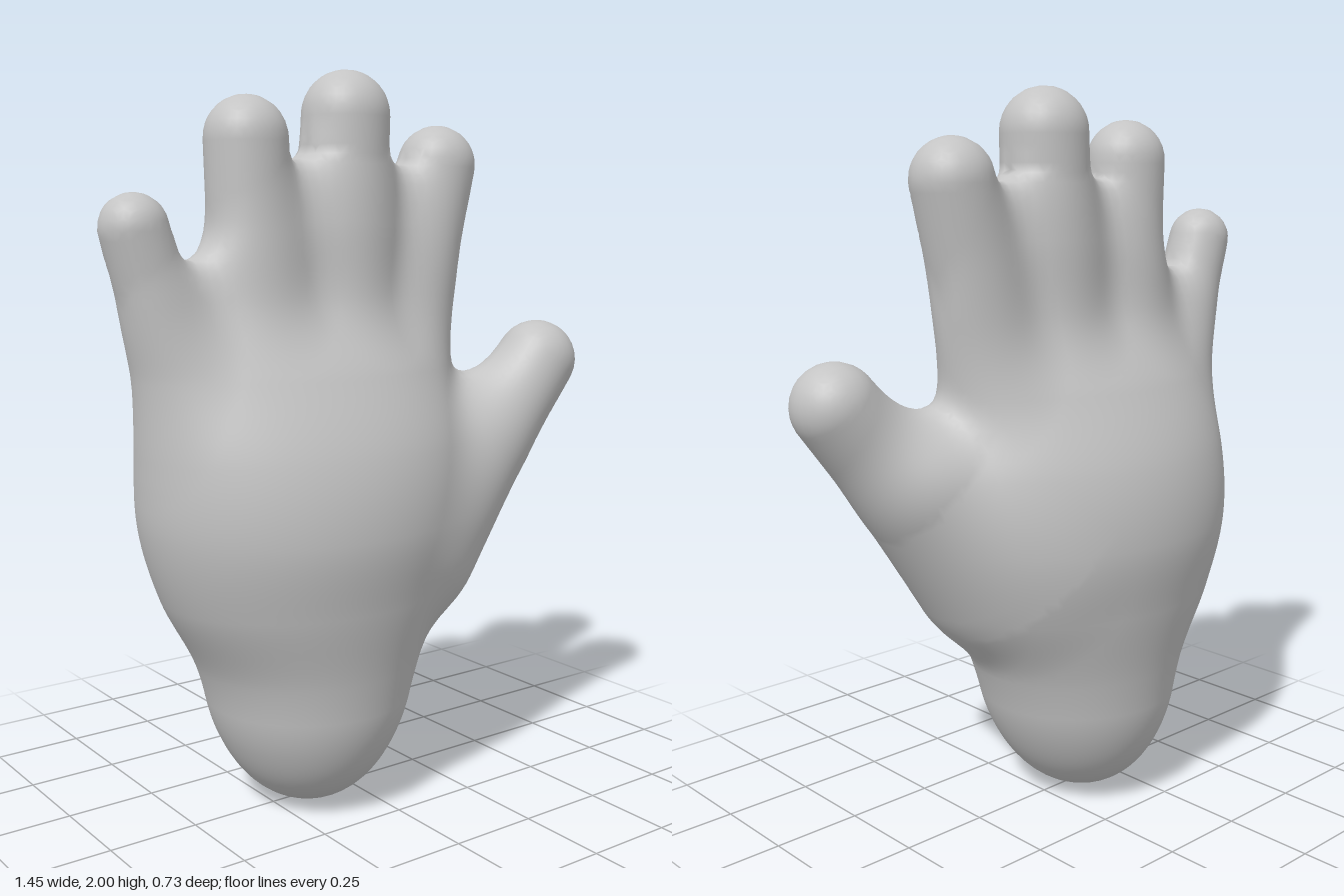
import * as THREE from 'three';

const STEP = 0.025;   // spacing of the sculpting grid

// Palm cross-sections every 0.2 up from y = 0: centre x, half width, half depth
const SECTIONS = [
  [-0.14, 0.25, 0.27], [-0.135, 0.268, 0.272], [-0.13, 0.32, 0.295],
  [-0.135, 0.42, 0.335], [-0.135, 0.48, 0.365], [-0.135, 0.49, 0.335],
  [-0.145, 0.465, 0.24], [-0.14, 0.45, 0.115], [-0.05, 0.3, 0.09], [0, 0.27, 0.08],
];

// Smooth interpolation of one column of the section table
function section(y, column) {
  const last = SECTIONS.length - 1;
  const t = THREE.MathUtils.clamp(y / 0.2, 0, last - 0.001);
  const i = Math.floor(t), s = t - i;
  const at = (k) => SECTIONS[THREE.MathUtils.clamp(k, 0, last)][column];
  const [a, b, c, d] = [at(i - 1), at(i), at(i + 1), at(i + 2)];
  return b + 0.5 * s * (c - a + s * (2 * a - 5 * b + 4 * c - d + s * (3 * (b - c) + d - a)));
}

// Palm: stacked ellipses, rounded off at the heel and between the fingers
function palm(x, y, z) {
  const heel = Math.max(0, 0.3 - y) / 0.3, top = Math.max(0, y - 1.4) / 0.38;
  const round = Math.sqrt(Math.max(1e-5, 1 - Math.max(heel ** 2, top ** 4)));
  const w = section(y, 1) * round, d = section(y, 2) * round;
  const px = x - section(y, 0) + 1e-6;
  const k0 = Math.hypot(px / w, z / d), k1 = Math.hypot(px / (w * w), z / (d * d));
  const f = k0 * (k0 - 1) / k1;
  const beyond = Math.max(0, -y, y - 1.78);
  return beyond > 0 ? Math.hypot(Math.max(f, 0), beyond) : f;
}

// Finger: tapered rod with round ends
function finger([ax, ay, az], ra, [bx, by, bz], rb) {
  const dx = bx - ax, dy = by - ay, dz = bz - az, len2 = dx * dx + dy * dy + dz * dz;
  return (x, y, z) => {
    const dot = (x - ax) * dx + (y - ay) * dy + (z - az) * dz;
    const t = THREE.MathUtils.clamp(dot / len2, 0, 1);
    return Math.hypot(x - ax - t * dx, y - ay - t * dy, z - az - t * dz) - ra - (rb - ra) * t;
  };
}

// Blend is the softness of the join to the parts listed before
const PARTS = [
  { name: 'palm', blend: 0.1, distance: palm },
  { name: 'littleFinger', blend: 0.1, distance: finger([-0.46, 1.0, 0], 0.10, [-0.64, 1.583, 0], 0.088) },
  { name: 'ringFinger', blend: 0.1, distance: finger([-0.28, 1.0, 0], 0.12, [-0.315, 1.81, 0], 0.11) },
  { name: 'middleFinger', blend: 0.1, distance: finger([-0.03, 1.0, 0], 0.12, [0, 1.88, 0], 0.12) },
  { name: 'indexFinger', blend: 0.1, distance: finger([0.12, 0.95, 0], 0.11, [0.317, 1.757, 0], 0.11) },
  { name: 'thumbBase', blend: 0.16, distance: finger([0.1, 0.75, 0], 0.2, [0.38, 0.98, 0.03], 0.1) },
  { name: 'thumb', blend: 0.16, distance: finger([0.2, 0.69, 0.085], 0.14, [0.61, 1.2, 0.118], 0.115) },
];

// Soft union of all parts: negative inside, zero on the skin
function hand(x, y, z) {
  let f = 10;
  for (const { blend, distance } of PARTS) {
    const g = distance(x, y, z);
    const h = Math.max(blend - Math.abs(f - g), 0) / blend;
    f = Math.min(f, g) - h * h * blend / 4;
  }
  return f;
}

function gradient(p) {
  const e = 0.004;
  return new THREE.Vector3(
    hand(p.x + e, p.y, p.z) - hand(p.x - e, p.y, p.z),
    hand(p.x, p.y + e, p.z) - hand(p.x, p.y - e, p.z),
    hand(p.x, p.y, p.z + e) - hand(p.x, p.y, p.z - e)).divideScalar(2 * e);
}

export function createModel() {
  const origin = new THREE.Vector3(-0.85, -0.0613, -0.4613);
  const size = [68, 86, 38];
  const strides = [1, size[0], size[0] * size[1]];
  const point = (i, j, k) => new THREE.Vector3(i, j, k).multiplyScalar(STEP).add(origin);

  // Sample the soft union on the grid
  const field = new Float32Array(size[0] * size[1] * size[2]);
  const eachCell = (from, visit) => {
    for (let k = from; k < size[2] - 1; k++)
      for (let j = from; j < size[1] - 1; j++)
        for (let i = from; i < size[0] - 1; i++)
          visit(i, j, k, i + j * strides[1] + k * strides[2]);
  };
  field.fill(1);
  eachCell(0, (i, j, k, n) => {
    const p = point(i, j, k);
    field[n] = hand(p.x, p.y, p.z);
  });

  // One skin vertex in every cell that the surface crosses
  const positions = [], normals = [], vertexOf = new Map();
  eachCell(0, (i, j, k, n) => {
    const sum = new THREE.Vector3();
    let crossings = 0;
    for (let c = 0; c < 8; c++) {
      const bits = [c & 1, (c >> 1) & 1, c >> 2];
      const corner = n + bits[0] + bits[1] * strides[1] + bits[2] * strides[2];
      for (let axis = 0; axis < 3; axis++) {
        if (bits[axis]) continue;
        const a = field[corner], b = field[corner + strides[axis]];
        if ((a < 0) === (b < 0)) continue;
        const q = [i + bits[0], j + bits[1], k + bits[2]];
        q[axis] += a / (a - b);
        sum.add(point(...q));
        crossings++;
      }
    }
    if (!crossings) return;
    const p = sum.divideScalar(crossings);
    // Settle the vertex onto the exact skin
    for (let pass = 0; pass < 2; pass++) {
      const g = gradient(p);
      const move = -hand(p.x, p.y, p.z) / Math.max(g.length(), 0.2);
      p.addScaledVector(g.normalize(), THREE.MathUtils.clamp(move, -STEP / 2, STEP / 2));
    }
    vertexOf.set(n, positions.length / 3);
    positions.push(p.x, p.y, p.z);
    normals.push(...gradient(p).normalize().toArray());
  });

  // Join the vertices into quads, sorted by the part they lie on
  const faces = PARTS.map(() => []);
  eachCell(1, (i, j, k, n) => {
    for (let axis = 0; axis < 3; axis++) {
      const inside = field[n] < 0;
      if (inside === (field[n + strides[axis]] < 0)) continue;
      const u = strides[(axis + 1) % 3], v = strides[(axis + 2) % 3];
      const quad = [n - u - v, n - v, n, n - u].map((cell) => vertexOf.get(cell));
      if (!inside) quad.reverse();
      const [a, b, c, d] = quad;
      const p = point(i, j, k);
      const near = PARTS.map((part) => part.distance(p.x, p.y, p.z));
      faces[near.indexOf(Math.min(...near))].push(a, b, c, a, c, d);
    }
  });

  // One mesh per part, sharing the same seamless skin
  const greyClay = new THREE.MeshStandardMaterial({ color: 0xc4c4c4 });
  greyClay.name = 'greyClay';
  const position = new THREE.Float32BufferAttribute(positions, 3);
  const normal = new THREE.Float32BufferAttribute(normals, 3);
  const group = new THREE.Group();
  group.name = 'hand';
  PARTS.forEach((part, index) => {
    const geometry = new THREE.BufferGeometry();
    geometry.setAttribute('position', position);
    geometry.setAttribute('normal', normal);
    geometry.setIndex(faces[index]);
    const mesh = new THREE.Mesh(geometry, greyClay);
    mesh.name = part.name;
    group.add(mesh);
  });
  return group;
}
